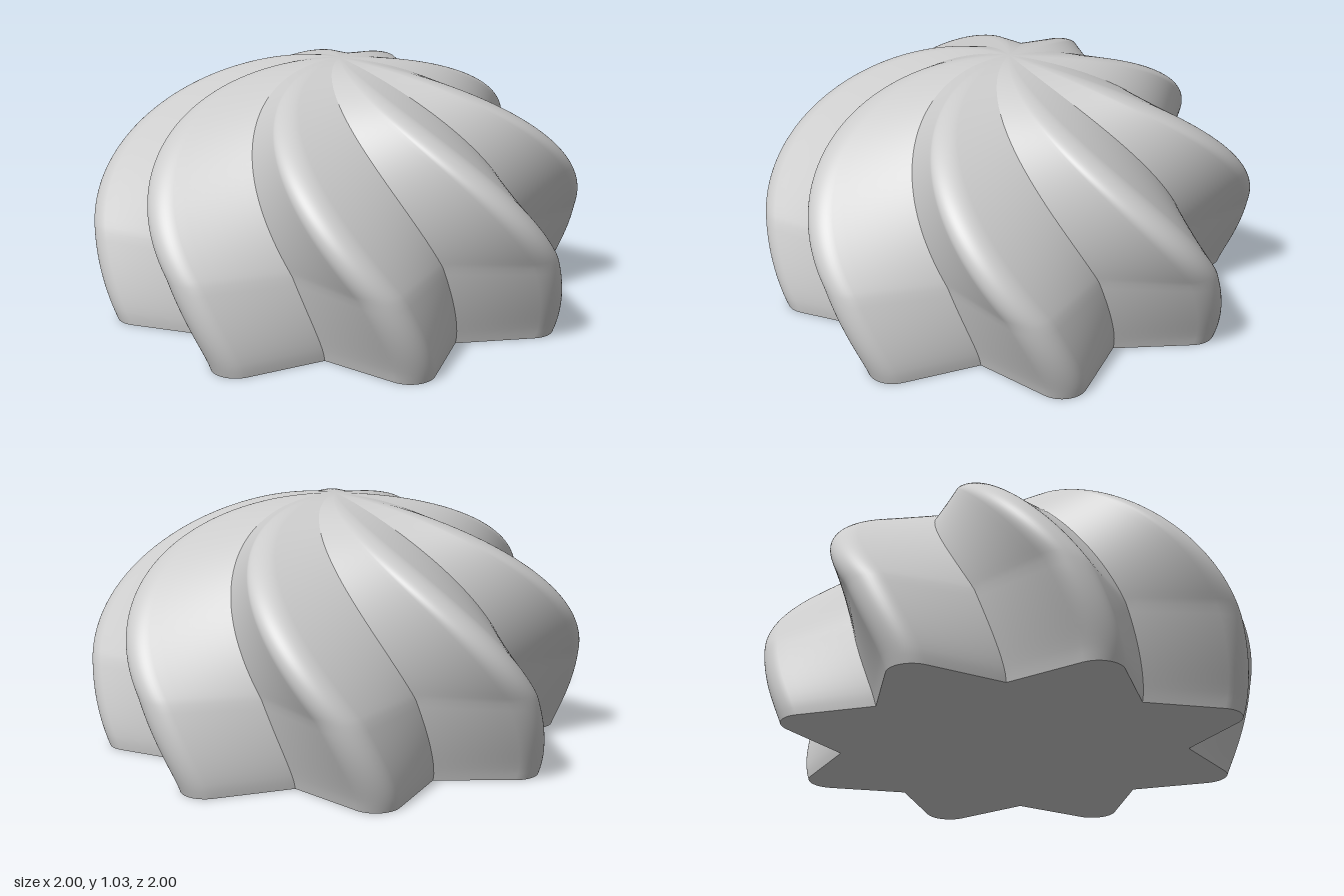
import * as THREE from 'three';

const LOBES = 8;
const ROWS = 64;
const WIDE_Y = 0.36;   // height of the widest ring
const TOP_Y = 1.03;
const WIDEST = 1.078;  // scale of the star section at the widest ring
const rad = THREE.MathUtils.degToRad;
const polar = (deg, r) => new THREE.Vector2(r * Math.sin(rad(deg)), r * Math.cos(rad(deg)));

// One point of the star: sharp valley, straight flank, rounded tip, straight flank, valley
function lobeSection() {
  const start = polar(0, 0.7), end = polar(45, 0.7), centre = polar(22.5, 0.848);
  const arc = [];
  for (let i = 0; i <= 16; i++) arc.push(polar(-32 + (109 * i) / 16, 0.1).add(centre));
  const points = [];
  for (let i = 0; i < 8; i++) points.push(start.clone().lerp(arc[0], i / 8));
  points.push(...arc);
  for (let i = 1; i <= 8; i++) points.push(arc[16].clone().lerp(end, i / 8));
  return points;
}

// Height, scale and twist of the section along the dome; t runs from the base to the pole
function ringAt(t) {
  const low = -21.1;
  const a = low + (90 - low) * t;
  const rise = a < 0 ? 1 : TOP_Y - WIDE_Y;
  const w = a - low;
  return {
    y: Math.max(0, WIDE_Y + rise * Math.sin(rad(a))),
    scale: WIDEST * Math.cos(rad(a)),
    twist: rad((0.55 * w * w) / (w + 6)),
  };
}

// Grid of one twisted lobe, from valley to valley and base to pole
function lobeGeometry(section) {
  const positions = [], index = [], n = section.length;
  for (let j = 0; j <= ROWS; j++) {
    const { y, scale, twist } = ringAt(j / ROWS);
    const c = Math.cos(twist), s = Math.sin(twist);
    for (const p of section) {
      positions.push(scale * (p.x * c - p.y * s), y, scale * (p.x * s + p.y * c));
    }
  }
  for (let j = 0; j < ROWS; j++) {
    for (let i = 0; i < n - 1; i++) {
      const a = j * n + i, b = a + 1, d = a + n, e = d + 1;
      index.push(a, b, e);
      if (j < ROWS - 1) index.push(a, e, d);
      else index.splice(-3, 3, a, b, d);
    }
  }
  const geometry = new THREE.BufferGeometry();
  geometry.setAttribute('position', new THREE.Float32BufferAttribute(positions, 3));
  geometry.setIndex(index);
  geometry.computeVertexNormals();
  // The pole shades as one flat spot
  for (let i = 0; i < n; i++) geometry.attributes.normal.setXYZ(ROWS * n + i, 0, 1, 0);
  return geometry;
}

export function createModel() {
  const group = new THREE.Group();
  group.name = 'swirlDome';
  const material = new THREE.MeshStandardMaterial({ color: 0xcccccc });
  const section = lobeSection();

  // Twisted lobes around the axis
  const geometry = lobeGeometry(section);
  for (let k = 0; k < LOBES; k++) {
    const lobe = new THREE.Mesh(geometry, material);
    lobe.name = `lobe${k + 1}`;
    lobe.rotation.y = (k * 2 * Math.PI) / LOBES;
    group.add(lobe);
  }

  // Flat star-shaped underside
  const outline = [];
  const { scale } = ringAt(0);
  for (let k = 0; k < LOBES; k++) {
    for (const p of section.slice(0, -1)) {
      outline.push(p.clone().rotateAround(new THREE.Vector2(), (-k * 2 * Math.PI) / LOBES).multiplyScalar(scale));
    }
  }
  const base = new THREE.Mesh(new THREE.ShapeGeometry(new THREE.Shape(outline)), material);
  base.name = 'base';
  base.rotation.x = Math.PI / 2;
  group.add(base);

  return group;
}
